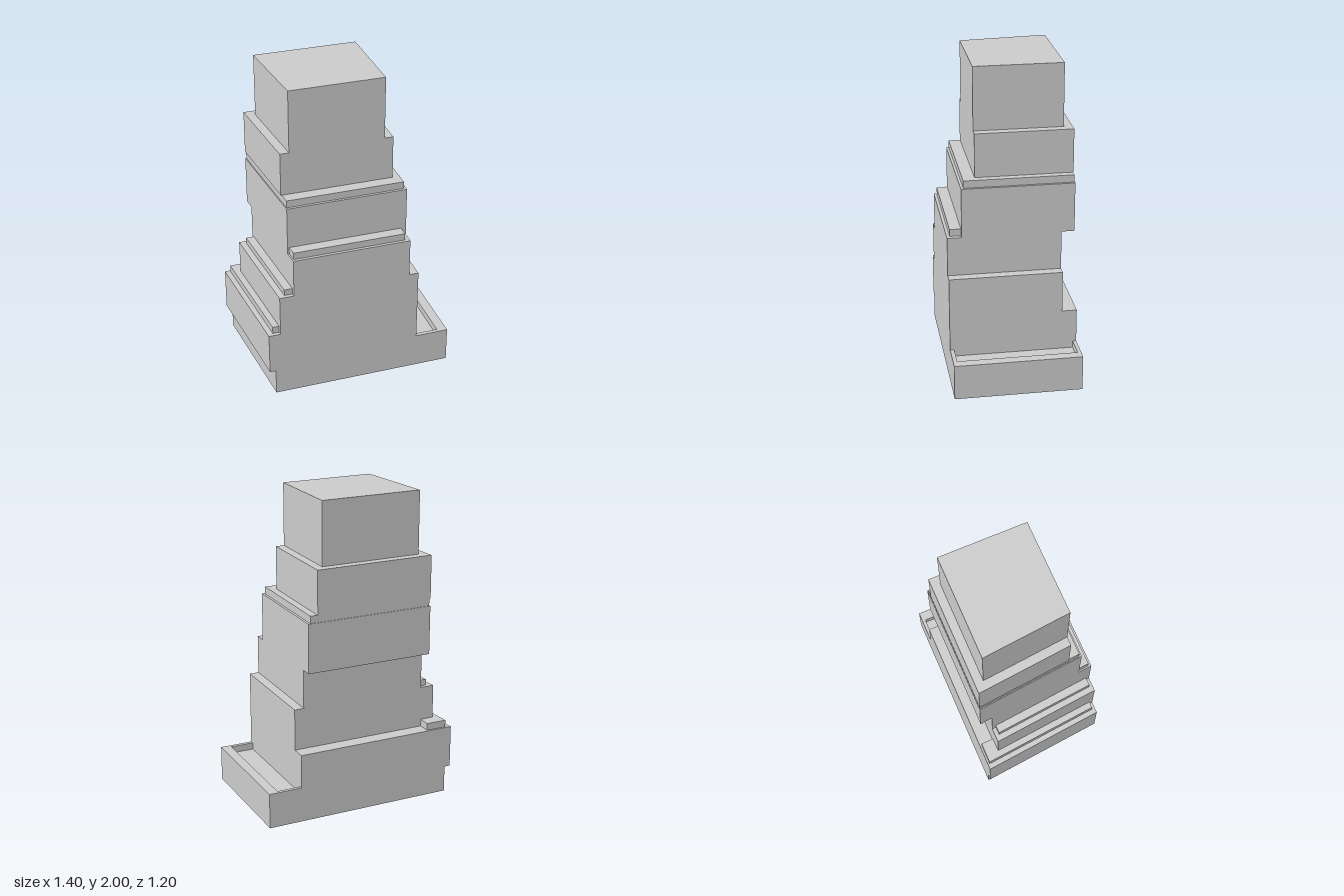
import * as THREE from 'three';

const ANGLE = 0.36;   // the whole tower is turned about y
const SKEW = 0.097;   // the left wall leans away from square in plan
const material = new THREE.MeshStandardMaterial({ color: 0xcccccc, flatShading: true, side: THREE.DoubleSide });

// Plan point of the tower's own axes (u to the right, v to the front)
const at = (u, v, y) => [
  u * Math.cos(ANGLE) - v * Math.sin(ANGLE), y,
  u * Math.sin(ANGLE) + v * Math.cos(ANGLE)];
const leftEdge = (l, v) => l + SKEW * v;

// Footprint corners, counter-clockwise seen from above
const corners = ({ l, r, b, f }) => [[leftEdge(l, f), f], [r, f], [r, b], [leftEdge(l, b), b]];

function meshFromQuads(name, quads) {
  const positions = [];
  for (const [a, b, c, d] of quads) positions.push(...a, ...b, ...c, ...a, ...c, ...d);
  const geometry = new THREE.BufferGeometry();
  geometry.setAttribute('position', new THREE.Float32BufferAttribute(positions, 3));
  geometry.computeVertexNormals();
  const mesh = new THREE.Mesh(geometry, material);
  mesh.name = name;
  return mesh;
}

const flat = (pts, y, down = false) => {
  const q = pts.map(([u, v]) => at(u, v, y));
  return down ? q.reverse() : q;
};
const wall = ([u0, v0], [u1, v1], y0, y1) => [at(u0, v0, y0), at(u1, v1, y0), at(u1, v1, y1), at(u0, v0, y1)];
const walls = (foot, y0, y1) => {
  const c = corners(foot);
  return c.map((p, i) => wall(p, c[(i + 1) % 4], y0, y1));
};

// Strips of a footprint lying outside the inner footprint
function strips(p, i, y, down) {
  const out = [];
  const add = foot => out.push(flat(corners(foot), y, down));
  const e = 1e-4;
  if (p.f > i.f + e) add({ ...p, b: i.f });
  if (p.b < i.b - e) add({ ...p, f: i.b });
  if (p.r > i.r + e) add({ l: 0, r: p.r, b: i.b, f: i.f, inner: i.r });
  if (p.l < i.l - e) {
    out.push(flat([[leftEdge(p.l, i.f), i.f], [leftEdge(i.l, i.f), i.f],
      [leftEdge(i.l, i.b), i.b], [leftEdge(p.l, i.b), i.b]], y, down));
  }
  // the right strip has straight sides
  if (p.r > i.r + e) {
    const k = (p.f > i.f + e ? 1 : 0) + (p.b < i.b - e ? 1 : 0);
    out[k] = flat([[i.r, i.f], [p.r, i.f], [p.r, i.b], [i.r, i.b]], y, down);
  }
  return out;
}

const overlap = (p, q) => ({
  l: Math.max(p.l, q.l), r: Math.min(p.r, q.r), b: Math.max(p.b, q.b), f: Math.min(p.f, q.f) });

export function createModel() {
  const tower = new THREE.Group();
  tower.name = 'steppedTower';

  // Storeys from the ground up; the lowest is open underneath
  const tiers = [
    { name: 'base', y0: 0, y1: 0.17, l: -0.594, r: 0.603, b: -0.388, f: 0.414 },
    { name: 'baseOverhang', y0: 0.17, y1: 0.228, l: -0.632, r: 0.603, b: -0.388, f: 0.414 },
    { name: 'firstTier', y0: 0.228, y1: 0.444, l: -0.632, r: 0.388, b: -0.388, f: 0.414 },
    { name: 'secondTier', y0: 0.444, y1: 0.71, l: -0.557, r: 0.388, b: -0.295, f: 0.414 },
    { name: 'thirdTier', y0: 0.71, y1: 0.96, l: -0.466, r: 0.327, b: -0.295, f: 0.414 },
    { name: 'fourthTier', y0: 0.96, y1: 1.275, l: -0.466, r: 0.33, b: -0.375, f: 0.325 },
    { name: 'band', y0: 1.275, y1: 1.322, l: -0.46, r: 0.314, b: -0.371, f: 0.309 },
    { name: 'fifthTier', y0: 1.322, y1: 1.6, l: -0.466, r: 0.268, b: -0.375, f: 0.234 },
    { name: 'topTier', y0: 1.6, y1: 2, l: -0.41, r: 0.213, b: -0.321, f: 0.234 },
  ];
  tiers.forEach((tier, i) => {
    const quads = walls(tier, tier.y0, tier.y1);
    const above = tiers[i + 1];
    const below = tiers[i - 1];
    // Undersides where the tier overhangs, ledges where the next one steps in
    if (below) quads.push(...strips(tier, overlap(tier, below), tier.y0, true));
    if (!above) quads.push(flat(corners(tier), tier.y1));
    else if (tier.name !== 'baseOverhang') quads.push(...strips(tier, overlap(tier, above), tier.y1, false));
    tower.add(meshFromQuads(tier.name, quads));
  });

  // Low terrace on the right: a rim around a sunken floor
  const rim = 0.228, floor = 0.183;
  const o = { l: 0.388, r: 0.603, b: -0.388, f: 0.414 };
  const n = { r: 0.541, b: -0.366, f: 0.389 };
  const rect = (l, r, b, f) => [[l, f], [r, f], [r, b], [l, b]];
  const inside = rect(o.l, n.r, n.b, n.f);
  tower.add(meshFromQuads('terrace', [
    flat(rect(o.l, o.r, n.f, o.f), rim),
    flat(rect(o.l, o.r, o.b, n.b), rim),
    flat(rect(n.r, o.r, n.b, n.f), rim),
    flat(inside, floor),
    wall(inside[1], inside[0], floor, rim),
    wall(inside[2], inside[1], floor, rim),
    wall(inside[3], inside[2], floor, rim),
    wall(inside[0], inside[3], floor, rim),
  ]));

  // Low curbs on the ledges
  const curbs = [
    { name: 'lowerLeftCurb', y0: 0.444, y1: 0.49, l: -0.598, r: -0.5, b: -0.376, f: 0.39 },
    { name: 'upperLeftCurb', y0: 0.71, y1: 0.75, l: -0.518, r: -0.42, b: -0.27, f: 0.39 },
    { name: 'frontCurb', y0: 0.96, y1: 1.005, l: -0.456, r: 0.298, b: 0.32, f: 0.395 },
  ];
  for (const curb of curbs) {
    tower.add(meshFromQuads(curb.name, [...walls(curb, curb.y0, curb.y1), flat(corners(curb), curb.y1)]));
  }
  return tower;
}
